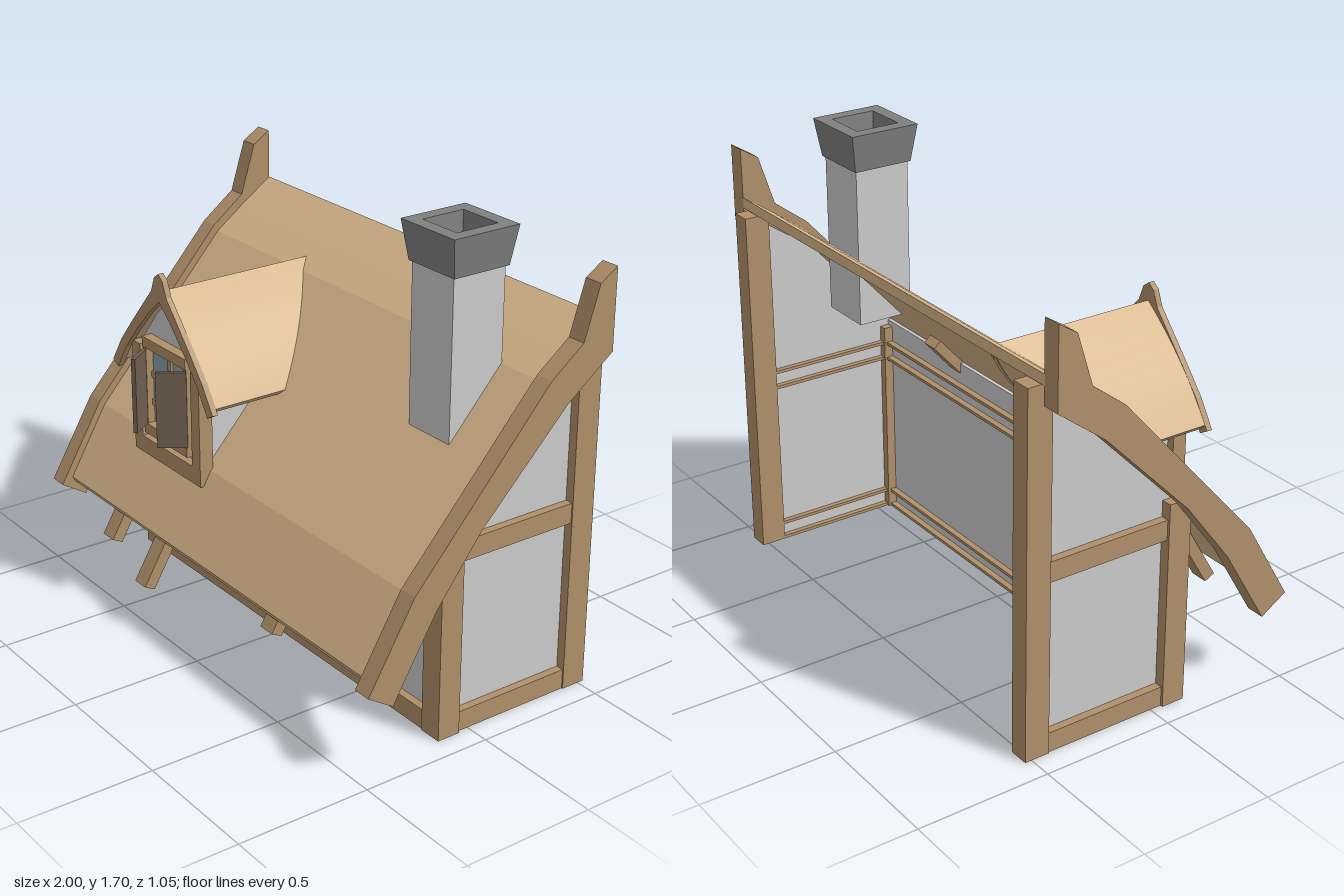
import * as THREE from 'three';
import { toCreasedNormals } from 'three/addons/utils/BufferGeometryUtils.js';

const mat = (color, extra = {}) => new THREE.MeshStandardMaterial({ color, ...extra });
const grey = mat(0xcccccc);
const wood = mat(0xb0906a);
const thatch = mat(0xd6b589);
const shutterWood = mat(0x705e50);
const glass = mat(0x8aa0aa);
const capStone = mat(0x808080, { flatShading: true });

// Upper line of the roof as (z, y), eave to ridge
const ROOF = [[0.455, 0.36], [0.3, 0.625], [-0.235, 1.22], [-0.35, 1.305], [-0.48, 1.395]];
const DORMER_X = -0.41;

// Depth z at which the roof reaches height y
function roofZ(y) {
  let i = 0;
  while (i < ROOF.length - 2 && y > ROOF[i + 1][1]) i++;
  const [a, b] = [ROOF[i], ROOF[i + 1]];
  return a[0] + (b[0] - a[0]) * (y - a[1]) / (b[1] - a[1]);
}

const shapeOf = (pts) => new THREE.Shape(pts.map(([x, y]) => new THREE.Vector2(x, y)));
const mirrorLoop = (half) => [...half, ...half.filter(([x]) => x > 0).reverse().map(([x, y]) => [-x, y])];

export function createModel() {
  const house = new THREE.Group();
  house.name = 'cottage';

  const add = (parent, name, geometry, material) => {
    const mesh = new THREE.Mesh(geometry, material);
    mesh.name = name;
    parent.add(mesh);
    return mesh;
  };
  // Box given by its limits on each axis
  const box = (parent, name, x0, x1, y0, y1, z0, z1, material = wood) => {
    const mesh = add(parent, name, new THREE.BoxGeometry(Math.abs(x1 - x0), y1 - y0, z1 - z0), material);
    mesh.position.set((x0 + x1) / 2, (y0 + y1) / 2, (z0 + z1) / 2);
    return mesh;
  };
  // Side profile (z, y) given a width along x
  const sideExtrude = (name, pts, x, width, material) => {
    const g = new THREE.ExtrudeGeometry(shapeOf(pts), { depth: width, bevelEnabled: false });
    g.translate(0, 0, -width / 2).rotateY(-Math.PI / 2);
    return add(house, name, g, material).position.setX(x);
  };

  // Roof slab
  const under = ROOF.map(([z, y], i) => [i === 4 ? z : z - 0.012, y - (i ? 0.04 : 0.022)]);
  sideExtrude('roof', [...ROOF, ...under.reverse()], 0, 1.87, thatch);

  // Curved gable boards with raised tips
  const board = [[0.5, 0.338], [0.32, 0.644], [-0.22, 1.248], [-0.35, 1.347], [-0.41, 1.536], [-0.48, 1.58],
    [-0.48, 1.288], [-0.295, 1.149], [0.05, 0.8], [0.228, 0.567], [0.4, 0.275]];

  for (const s of [-1, 1]) {
    sideExtrude('gableBoard', board, s * 0.965, 0.07, wood);
    sideExtrude('sideWall', [[0.09, 0.01], [0.09, 0.81], [-0.235, 1.17], [-0.48, 1.34], [-0.48, 0.01]],
      s * 0.865, 0.02, grey);
    box(house, 'frontPost', s * 0.825, s * 0.915, 0, 0.78, 0.045, 0.135);
    box(house, 'backPost', s * 0.835, s * 0.91, 0, 1.35, -0.525, -0.43);
  }

  // Front wall
  box(house, 'frontWall', -0.86, 0.86, 0.01, 0.8, 0.08, 0.1, grey);

  // Horizontal beams, with slim rails showing on the inside
  for (const [y0, y1] of [[0, 0.075], [0.645, 0.72]]) {
    box(house, 'frontBeam', -0.83, 0.83, y0, y1, 0.09, 0.13);
    for (const s of [-1, 1]) box(house, 'sideBeam', s * 0.865, s * 0.905, y0, y1, -0.44, 0.06);
    for (const y of [y0, y1 - 0.012]) {
      box(house, 'innerRail', -0.83, 0.83, y, y + 0.012, 0.055, 0.085);
      for (const s of [-1, 1]) box(house, 'innerRail', s * 0.835, s * 0.86, y, y + 0.012, -0.44, 0.06);
    }
  }

  // Rafter tails under the eave, each cut to its own length
  for (const [x, cut] of [[-0.61, 0.075], [-0.325, 0], [0.385, 0.13]]) {
    const dz = -0.51 * cut, dy = 0.86 * cut;
    sideExtrude('rafter', [[0.53 + dz, 0.18 + dy], [0.285, 0.595], [0, 0.92], [-0.035, 0.89],
      [0.245, 0.575], [0.49 + dz, 0.16 + dy]], x, 0.068, wood);
  }

  // Chimney: shaft and flared hollow cap
  box(house, 'chimneyShaft', 0.53, 0.74, 0.97, 1.57, -0.237, -0.022, grey);
  const capProfile = [[0.1, 1.56], [0.115, 1.56], [0.135, 1.7], [0.085, 1.7], [0.078, 1.6], [0, 1.6]]
    .map(([r, y]) => new THREE.Vector2(r * Math.SQRT2, y));
  const cap = add(house, 'chimneyCap', new THREE.LatheGeometry(capProfile, 4, Math.PI / 4), capStone);
  cap.position.set(0.635, 0, -0.13);

  // Dormer
  const dormer = new THREE.Group();
  dormer.name = 'dormer';
  dormer.position.x = DORMER_X;
  house.add(dormer);

  // Front outline run back until it meets the main roof
  const runToRoof = (name, pts, front, sink, material) => {
    const g = new THREE.ExtrudeGeometry(shapeOf(pts), { depth: 1, bevelEnabled: false });
    const p = g.attributes.position;
    for (let i = 0; i < p.count; i++) {
      p.setZ(i, p.getZ(i) > 0.5 ? front : Math.min(front - 0.005, roofZ(p.getY(i)) - sink));
    }
    return add(dormer, name, toCreasedNormals(g, 0.4), material);
  };
  runToRoof('dormerWall', mirrorLoop([[0.19, 0.63], [0.19, 1.02], [0.1, 1.13], [0, 1.22]]), 0.31, 0.01, grey);

  // Curved dormer roof
  const curve = new THREE.QuadraticBezierCurve(
    new THREE.Vector2(0.32, 0.91), new THREE.Vector2(0.2, 1.105), new THREE.Vector2(0, 1.255));
  const outer = curve.getPoints(8).map((v) => [v.x, v.y]);
  const left = (pts) => pts.filter(([x]) => x > 0).reverse().map(([x, y]) => [-x, y]);
  const inner = outer.map(([x, y]) => [x * 0.95, y - 0.018]);
  runToRoof('dormerRoof', [...outer, ...left(outer), ...left(inner).reverse(), ...[...inner].reverse()],
    0.35, 0.05, thatch);

  // Dormer gable board with a pointed top
  const boardTop = [[0.333, 0.892], [0.27, 0.99], [0.19, 1.085], [0.05, 1.243], [0.027, 1.3], [0, 1.32]];
  const boardLow = [[0.298, 0.872], [0.24, 0.965], [0.16, 1.06], [0.07, 1.155], [0, 1.215]];
  const boardShape = shapeOf([...boardTop, ...left(boardTop), ...left(boardLow).reverse(), ...[...boardLow].reverse()]);
  const boardGeo = new THREE.ExtrudeGeometry(boardShape, { depth: 0.022, bevelEnabled: false });
  add(dormer, 'dormerGableBoard', boardGeo, wood).position.z = 0.339;

  // Window: surround, frame, glass and glazing bars
  box(dormer, 'windowSill', -0.22, 0.22, 0.57, 0.635, 0.29, 0.345);
  box(dormer, 'windowFrameTop', -0.143, 0.143, 1, 1.04, 0.3, 0.35);
  box(dormer, 'windowFrameBottom', -0.143, 0.143, 0.66, 0.7, 0.3, 0.35);
  box(dormer, 'glass', -0.135, 0.135, 0.7, 1, 0.305, 0.316, glass);
  box(dormer, 'glazingBar', -0.01, 0.01, 0.7, 1, 0.31, 0.326);
  for (const y of [0.78, 0.89]) box(dormer, 'glazingBar', -0.135, 0.135, y - 0.012, y + 0.012, 0.31, 0.324);

  for (const s of [-1, 1]) {
    box(dormer, 'dormerPost', s * 0.167, s * 0.22, 0.57, 1, 0.29, 0.345);
    box(dormer, 'windowFrameSide', s * 0.125, s * 0.143, 0.68, 1.02, 0.3, 0.345);
    // Half-open shutter on its hinge
    const hinge = new THREE.Group();
    hinge.name = 'shutter';
    hinge.position.set(s * 0.138, 0, 0.342);
    hinge.rotation.y = s * 0.95;
    box(hinge, 'shutterPanel', 0, -s * 0.11, 0.7, 0.99, -0.008, 0.008, shutterWood);
    dormer.add(hinge);
  }

  return house;
}
